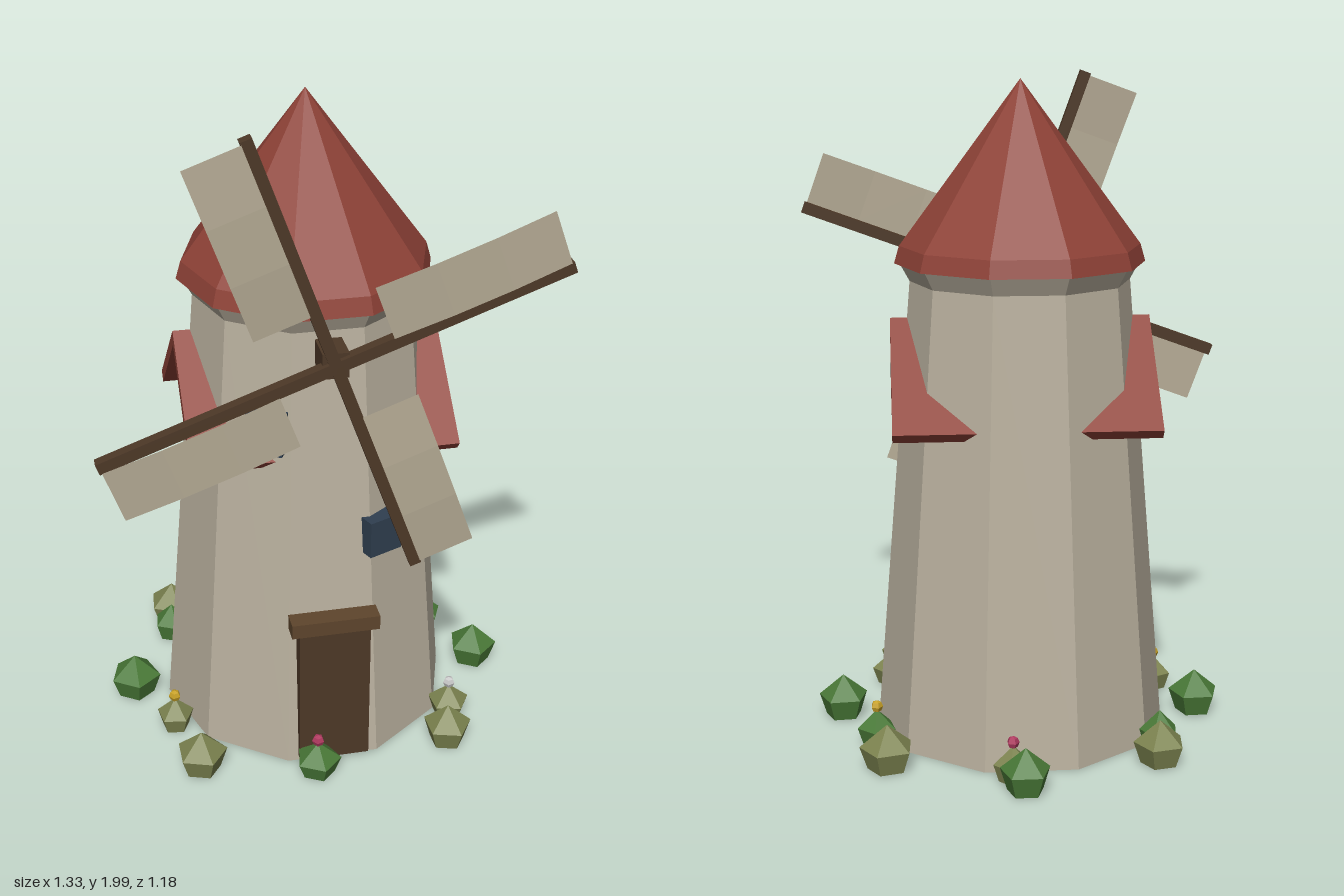
import * as THREE from 'three';

const AXIS_Z = 0.035; // the tower axis sits slightly forward
const TEN = Math.PI / 10;

const mat = (color, side = THREE.FrontSide) => {
  const m = new THREE.MeshStandardMaterial({ flatShading: true, side });
  m.color.set(color);
  return m;
};
const stone = mat(0xbab19f), tile = mat(0x8f4237), wood = mat(0x4d3827), trim = mat(0x5e452c);
const glass = mat(0x303f50), cloth = mat(0xb3a993, THREE.DoubleSide);
const green = mat(0x4a7a38), olive = mat(0x7d8450);
const pink = mat(0xb03a60), yellow = mat(0xc9a227), white = mat(0xd8d8d8);

function add(parent, name, geometry, material, x = 0, y = 0, z = 0) {
  const mesh = new THREE.Mesh(geometry, material);
  mesh.name = name;
  mesh.position.set(x, y, z);
  parent.add(mesh);
  return mesh;
}
const box = (w, h, d) => new THREE.BoxGeometry(w, h, d);
const lathe = (points, sides, start = 0) =>
  new THREE.LatheGeometry(points.map(p => new THREE.Vector2(...p)), sides, start);

// Ten-sided tapering tower with a flared collar and conical roof
function buildTower(root) {
  const profile = [[0, 0], [0.445, 0], [0.33, 1.385], [0.36, 1.44], [0, 1.44]];
  add(root, 'tower', lathe(profile, 10, TEN), stone, 0, 0, AXIS_Z);
  const roof = [[0, 1.438], [0.375, 1.438], [0.36, 1.49], [0, 1.975]];
  add(root, 'roof', lathe(roof, 10, TEN), tile, 0, 0, AXIS_Z);

  // Chevron slab running through the tower, showing as a gable on each side
  const s = new THREE.Shape();
  [[0, 1.275], [0.318, 0.99], [0.295, 0.963], [0, 1.23], [-0.295, 0.963], [-0.318, 0.99]]
    .forEach(([x, y], i) => (i ? s.lineTo(x, y) : s.moveTo(x, y)));
  const gable = new THREE.ExtrudeGeometry(s, { depth: 0.78, bevelEnabled: false });
  gable.translate(0, 0, -0.39).rotateY(Math.PI / 2);
  add(root, 'sideGables', gable, tile, 0, 0, AXIS_Z);

  // Door and lintel
  add(root, 'door', box(0.212, 0.46, 0.09), wood, 0, 0.245, 0.435);
  add(root, 'doorLintel', box(0.262, 0.045, 0.06), trim, 0, 0.495, 0.46);

  // Windows turned to follow the wall
  for (const [angle, r, y] of [[0.4, 0.385, 0.745], [-0.5, 0.37, 1.093]]) {
    const w = add(root, 'window', box(0.11, 0.115, 0.06), glass,
      Math.sin(angle) * r, y, AXIS_Z + Math.cos(angle) * r);
    w.rotation.y = angle;
  }
  // Small peg on the side wall
  add(root, 'wallPeg', box(0.02, 0.012, 0.022), wood, 0.365, 0.655, 0.117).rotation.x = -0.5;
}

// Axle and four sails
function buildSails(root) {
  add(root, 'axle', box(0.075, 0.075, 0.15), wood, 0, 1.325, 0.375);
  const rotor = new THREE.Group();
  rotor.name = 'sailRotor';
  rotor.position.set(0, 1.325, 0.448);
  rotor.rotation.z = THREE.MathUtils.degToRad(20);
  root.add(rotor);
  for (let i = 0; i < 4; i++) {
    const blade = new THREE.Group();
    blade.name = 'sailBlade';
    blade.rotation.z = i * Math.PI / 2;
    rotor.add(blade);
    add(blade, 'sailArm', box(0.034, 0.7, 0.034), wood, 0, 0.35, 0);
    // Cloth in three gently bent panels
    const sail = new THREE.PlaneGeometry(0.165, 0.52, 1, 3);
    const p = sail.attributes.position;
    for (let k = 0; k < p.count; k++) p.setZ(k, Math.abs(p.getY(k)) < 0.2 ? 0.01 : 0);
    add(blade, 'sailCloth', sail, cloth, -0.0975, 0.433, 0.017);
  }
}

// Pentagonal bushes around the base, some with a flower on top
function buildBushes(root) {
  const bushes = [ // x, z, radius, material, flower
    [0.03, -0.525, 0.076, green], [-0.55, 0.02, 0.08, green], [0.555, 0.07, 0.078, green],
    [-0.06, 0.525, 0.07, green, pink], [-0.395, -0.26, 0.06, green],
    [-0.38, -0.365, 0.078, olive], [0.42, -0.34, 0.082, olive], [-0.4, 0.44, 0.078, olive],
    [0.36, 0.46, 0.075, olive], [0.4, 0.33, 0.065, olive, white],
    [0.06, -0.45, 0.058, olive, pink], [-0.45, 0.225, 0.058, olive, yellow],
    [0.45, -0.155, 0.06, green, yellow],
  ];
  bushes.forEach(([x, z, r, material, flower], i) => {
    const h = flower ? 0.11 : 0.08 + r * 0.72;
    const profile = [[0, 0.003], [r * 0.72, 0.003], [r, h * 0.5], [0, h]];
    add(root, 'bush', lathe(profile, 5), material, x, 0, z).rotation.y = i * 1.3;
    if (flower) add(root, 'flower', new THREE.SphereGeometry(0.019, 5, 4), flower, x, 0.12, z);
  });
}

export function createModel() {
  const root = new THREE.Group();
  root.name = 'windmill';
  buildTower(root);
  buildSails(root);
  buildBushes(root);
  return root;
}
